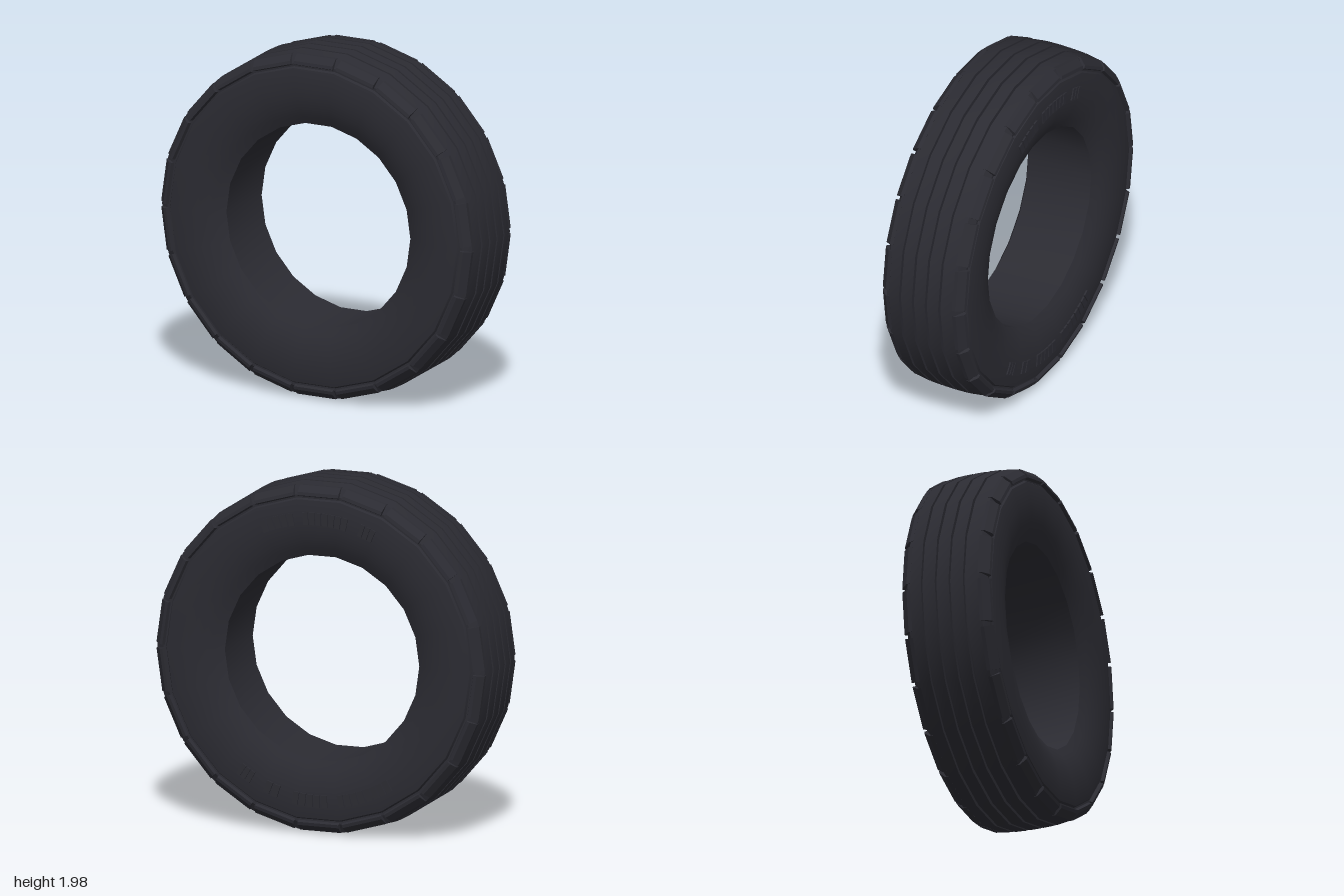
import * as THREE from 'three';
import { toCreasedNormals } from 'three/addons/utils/BufferGeometryUtils.js';

const SIDES = 22;
const STEP = (Math.PI * 2) / SIDES;
const APOTHEM = Math.cos(STEP / 2);

export function createModel() {
  const rubber = new THREE.MeshStandardMaterial({ color: 0x2b2b32 });
  rubber.name = 'dark rubber';

  const model = new THREE.Group();
  model.name = 'tire';
  const wheel = new THREE.Group();
  wheel.name = 'tireBody';
  wheel.position.y = APOTHEM; // rests on one flat of the polygon
  model.add(wheel);

  // Half cross-section (radius, depth), from the tread centre to the bore rim
  const half = [
    [1, 0.034], [0.974, 0.034], [0.974, 0.048], // inner groove
    [1, 0.048], [0.997, 0.118], [0.972, 0.118], [0.972, 0.132], // outer groove
    [0.996, 0.132], [0.984, 0.215], [0.935, 0.244], // shoulder chamfer
    [0.918, 0.243], [0.91, 0.256], // gutter under the shoulder blocks
    [0.87, 0.263], [0.8, 0.265], [0.74, 0.26], [0.68, 0.246], [0.63, 0.226], [0.584, 0.2],
  ];
  const profile = [
    ...half.map(([r, z]) => new THREE.Vector2(r, -z)).reverse(),
    ...half.map(([r, z]) => new THREE.Vector2(r, z)),
  ];
  profile.push(profile[0].clone()); // bore
  const carcass = new THREE.LatheGeometry(profile, SIDES, Math.PI / 2);
  carcass.rotateX(Math.PI / 2);
  const carcassMesh = new THREE.Mesh(toCreasedNormals(carcass, 0.42), rubber);
  carcassMesh.name = 'carcass';
  wheel.add(carcassMesh);

  // Raised shoulder blocks, one per flat, with a gap at every corner
  const section = new THREE.Shape(
    [[0.91, 0.225], [0.978, 0.2], [0.978, 0.222], [0.944, 0.259], [0.926, 0.263]]
      .map(([r, z]) => new THREE.Vector2(r, z)));
  const length = 0.245;
  const blockGeo = new THREE.ExtrudeGeometry(section, { depth: length, bevelEnabled: false });
  blockGeo.translate(0, 0, -length / 2);
  for (const [side, turn] of [['front', 0], ['back', Math.PI]]) {
    const shoulder = new THREE.Group();
    shoulder.name = side + 'ShoulderBlocks';
    shoulder.rotation.y = turn;
    for (let i = 0; i < SIDES; i++) {
      const a = (i + 0.5) * STEP;
      const block = new THREE.Mesh(blockGeo, rubber);
      block.name = 'shoulderBlock';
      block.setRotationFromMatrix(new THREE.Matrix4().makeBasis(
        new THREE.Vector3(Math.cos(a), Math.sin(a), 0),
        new THREE.Vector3(0, 0, 1),
        new THREE.Vector3(Math.sin(a), -Math.cos(a), 0)));
      shoulder.add(block);
    }
    wheel.add(shoulder);
  }

  // Plain raised ribs on the back sidewall: start and end angle in degrees, count
  const ribs = new THREE.Group();
  ribs.name = 'sidewallRibs';
  const addRibs = (from, to, count) => {
    const pitch = THREE.MathUtils.degToRad(to - from) / count;
    const geo = new THREE.BoxGeometry(Math.abs(pitch) * 0.8 * 0.78, 0.07, 0.02);
    for (let i = 0; i < count; i++) {
      const a = THREE.MathUtils.degToRad(from) + (i + 0.5) * pitch;
      const rib = new THREE.Mesh(geo, rubber);
      rib.name = 'sidewallRib';
      rib.position.set(-0.8 * Math.sin(a), 0.8 * Math.cos(a), -0.262);
      rib.rotation.z = a;
      ribs.add(rib);
    }
  };
  // upper row
  addRibs(-25, -10, 5);
  addRibs(-6.5, 13, 7);
  addRibs(18, 25, 3);
  // lower row
  addRibs(180 + 36, 180 + 29, 3);
  addRibs(180 + 23.5, 180 + 16.5, 2);
  addRibs(180 + 11, 180 - 4.5, 5);
  addRibs(180 - 8.5, 180 - 33, 8);
  wheel.add(ribs);

  return model;
}
